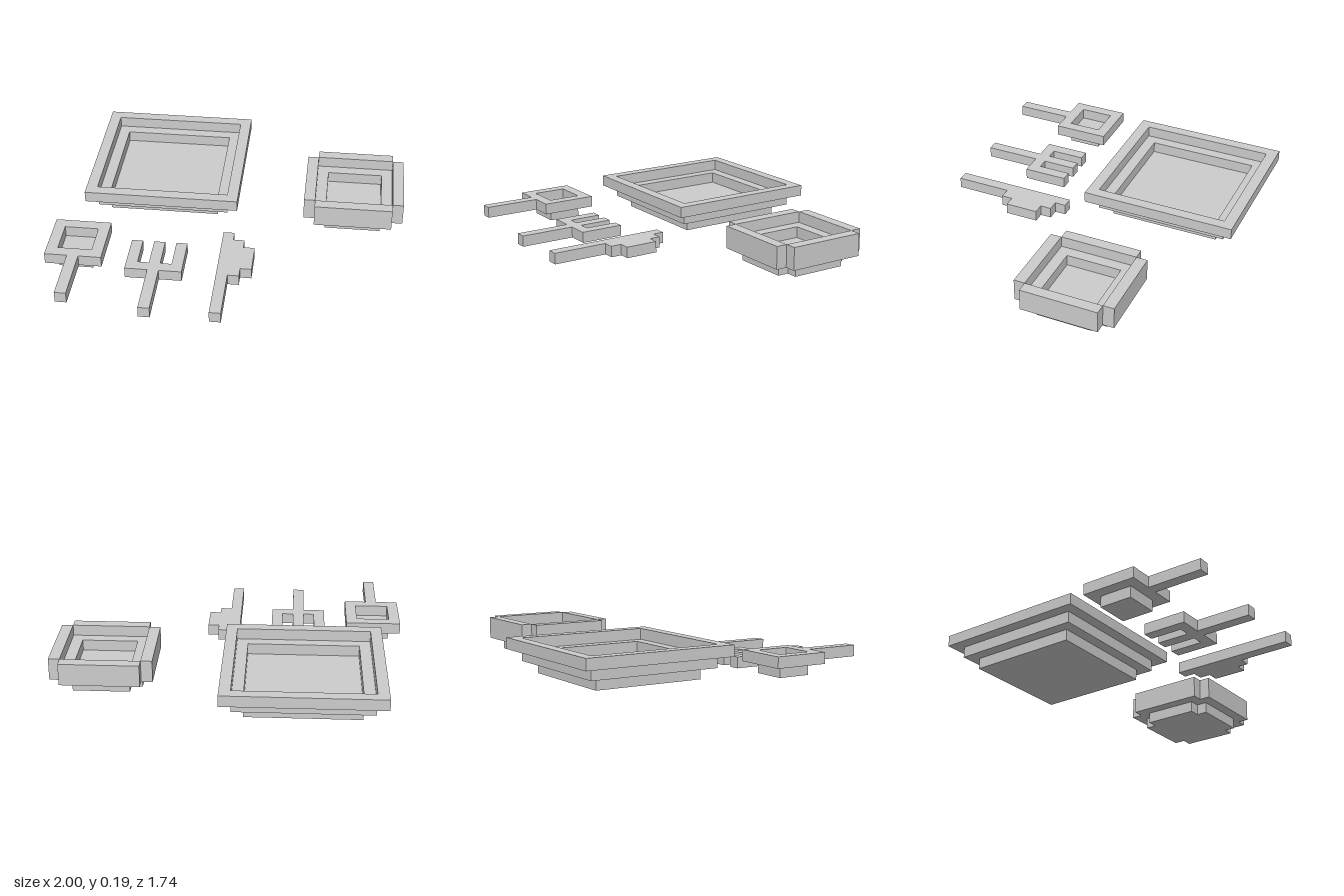
import * as THREE from 'three';

const U = 2 / 31; // one grid cell
const material = new THREE.MeshStandardMaterial({ color: 0xcccccc, flatShading: true });

// Corners of a rectangle in grid cells
const rect = (x0, z0, x1, z1) => [[x0, z0], [x1, z0], [x1, z1], [x0, z1]];

// Grid cell corner to plan coordinates, centred on the origin
const toPlan = ([x, z]) => new THREE.Vector2((x - 15.5) * U, (13.5 - z) * U);

// Flat slab with a plan outline, between two heights, with an optional opening
function slab(name, outline, y0, y1, hole) {
  const shape = new THREE.Shape(outline.map(toPlan));
  // The opening runs opposite to the outline so its walls face inwards
  if (hole) shape.holes.push(new THREE.Path(hole.map(toPlan).reverse()));
  const geometry = new THREE.ExtrudeGeometry(shape, { depth: (y1 - y0) * U, bevelEnabled: false });
  geometry.rotateX(-Math.PI / 2).translate(0, y0 * U, 0);
  const mesh = new THREE.Mesh(geometry, material);
  mesh.name = name;
  return mesh;
}

function part(name, ...children) {
  const group = new THREE.Group();
  group.name = name;
  group.add(...children);
  return group;
}

export function createModel() {
  // Plate: solid base with two rings stepping outwards
  const plate = part('plate',
    slab('plateBase', rect(4, 2, 14, 12), 0, 1),
    slab('plateStep', rect(3, 1, 15, 13), 1, 2, rect(4, 2, 14, 12)),
    slab('plateRim', rect(2, 0, 16, 14), 2, 3, rect(3, 1, 15, 13)));

  // Bowl: base with notched corners, inner ledge and four tall walls
  const bowl = part('bowl',
    slab('bowlBase', [
      [24, 6], [29, 6], [29, 7], [30, 7], [30, 12], [29, 12],
      [29, 13], [24, 13], [24, 12], [23, 12], [23, 7], [24, 7]], 0, 1),
    slab('bowlLedge', rect(23, 6, 30, 13), 1, 2, rect(24, 7, 29, 12)),
    slab('bowlBackWall', rect(23, 5, 30, 6), 1, 3),
    slab('bowlFrontWall', rect(23, 13, 30, 14), 1, 3),
    slab('bowlRightWall', rect(22, 6, 23, 13), 1, 3),
    slab('bowlLeftWall', rect(30, 6, 31, 13), 1, 3));

  // Spoon: small base, square rim and raised handle
  const spoon = part('spoon',
    slab('spoonBase', rect(1, 18, 4, 21), 0, 1),
    slab('spoonRim', rect(0, 17, 5, 22), 1, 2, rect(1, 18, 4, 21)),
    slab('spoonHandle', rect(2, 22, 3, 27), 1, 2));

  // Fork: three tines, crossbar and handle
  const fork = part('fork',
    slab('forkBody', [
      [7, 18], [8, 18], [8, 21], [9, 21], [9, 18], [10, 18], [10, 21], [11, 21],
      [11, 18], [12, 18], [12, 22], [10, 22], [10, 27], [9, 27], [9, 22], [7, 22]], 0, 1));

  // Knife: straight spine with a stepped blade
  const knife = part('knife',
    slab('knifeBody', [
      [15, 16], [16, 16], [16, 17], [17, 17], [17, 18], [18, 18],
      [18, 21], [17, 21], [17, 22], [16, 22], [16, 27], [15, 27]], 0, 1));

  return part('tableSetting', plate, bowl, spoon, fork, knife);
}
